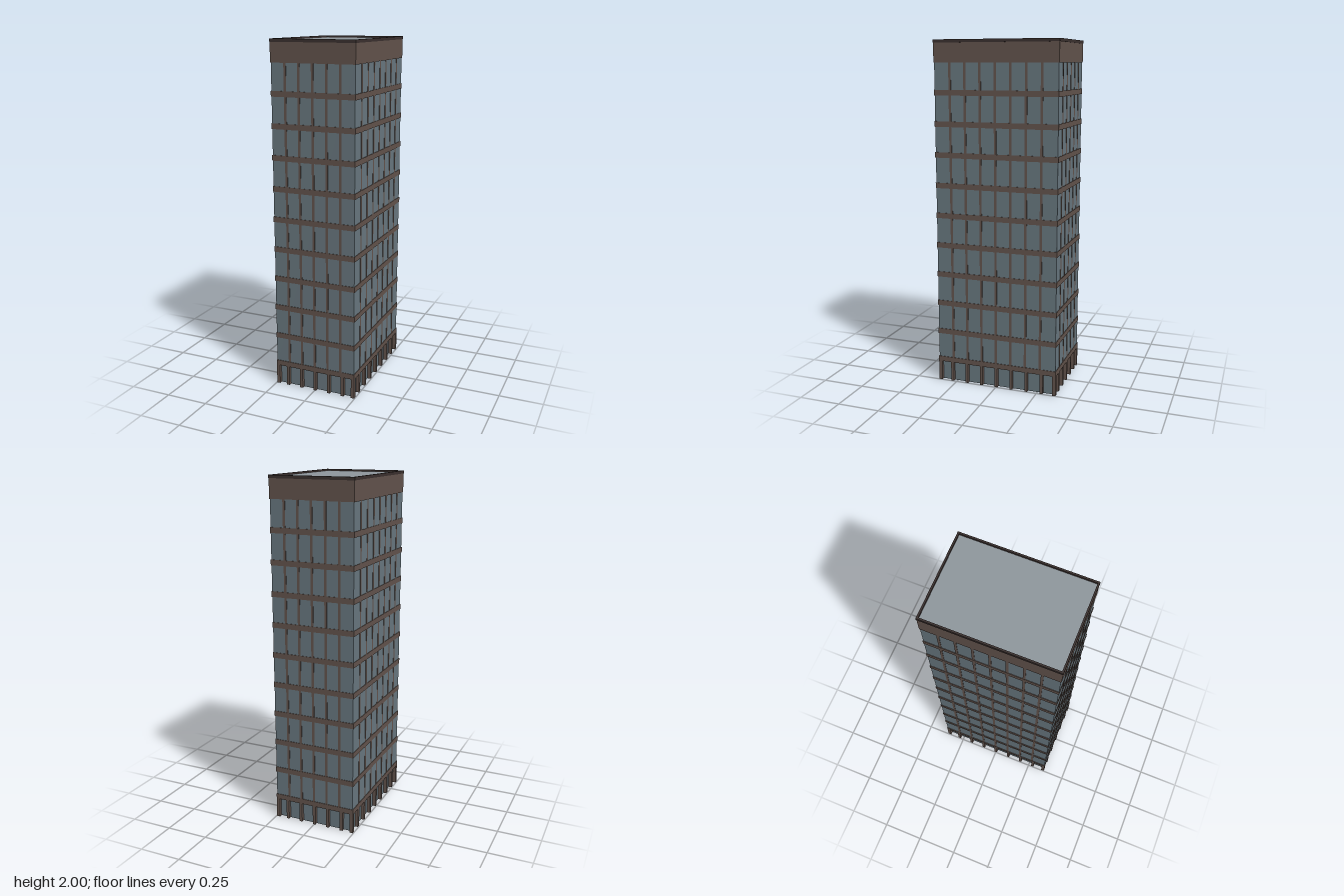
import * as THREE from 'three';

const HX = 0.247, HZ = 0.364;      // half width and half depth of the facade
const FLOOR = 0.1753, FIRST = 0.132; // storey pitch and lowest spandrel centre

export function createModel() {
  const mat = (name, color, side = THREE.FrontSide) => {
    const m = new THREE.MeshStandardMaterial({ color, side });
    m.name = name;
    return m;
  };
  const glass = mat('blue grey glass', 0x68777f, THREE.DoubleSide);
  const brown = mat('brown cladding', 0x62534c);
  const dark = mat('dark coping', 0x3a302e);
  const roofGrey = mat('grey roof', 0x8e969c);

  const tower = new THREE.Group();
  tower.name = 'officeTower';
  const group = (name) => {
    const g = new THREE.Group();
    g.name = name;
    tower.add(g);
    return g;
  };
  const box = (parent, name, w, h, d, x, y, z, m) => {
    const mesh = new THREE.Mesh(new THREE.BoxGeometry(w, h, d), m);
    mesh.name = name;
    mesh.position.set(x, y, z);
    parent.add(mesh);
  };

  // Glazed shaft above the ground floor, with a solid soffit under it
  box(tower, 'glassShaft', HX * 2 - 0.006, 1.76, HZ * 2 - 0.006, 0, 1.01, 0, glass);
  box(tower, 'soffit', HX * 2 - 0.004, 0.008, HZ * 2 - 0.004, 0, 0.126, 0, brown);

  // Spandrel bands at each storey and the tall band at the top
  const bands = group('spandrels');
  for (let i = 0; i < 10; i++) {
    box(bands, 'spandrel', HX * 2, 0.031, HZ * 2, 0, FIRST + i * FLOOR, 0, brown);
  }
  box(tower, 'topBand', HX * 2, 0.108, HZ * 2, 0, 1.929, 0, brown);

  // Facade mullions and ground-floor columns on all four sides
  const mullions = group('mullions');
  const columns = group('columns');
  const shaftH = 1.88 - FIRST, shaftY = (1.88 + FIRST) / 2;
  for (const s of [-1, 1]) {
    for (let i = -2; i <= 2; i++) {
      box(mullions, 'mullion', 0.014, shaftH, 0.008, i * 0.0807, shaftY, s * (HZ - 0.005), brown);
      box(columns, 'column', 0.017, 0.125, 0.022, i * 0.0865, 0.0625, s * (HZ - 0.011), brown);
    }
    for (let i = -3; i <= 3; i++) {
      box(mullions, 'mullion', 0.008, shaftH, 0.014, s * (HX - 0.005), shaftY, i * 0.0895, brown);
      box(columns, 'column', 0.022, 0.125, 0.017, s * (HX - 0.011), 0.0625, i * 0.0924, brown);
    }
    for (const t of [-1, 1]) {
      box(columns, 'cornerColumn', 0.02, 0.125, 0.02, s * (HX - 0.01), 0.0625, t * (HZ - 0.01), brown);
    }
  }

  // Recessed ground-floor glazing, open underneath
  const lobby = group('lobbyGlazing');
  const inX = HX - 0.02, inZ = HZ - 0.02;
  for (let k = 0; k < 4; k++) {
    const side = k % 2 === 1;
    const pane = new THREE.Mesh(new THREE.PlaneGeometry((side ? inZ : inX) * 2, 0.122), glass);
    pane.name = 'lobbyWall';
    const a = (k * Math.PI) / 2;
    pane.rotation.y = a;
    pane.position.set(Math.sin(a) * inX, 0.061, Math.cos(a) * inZ);
    lobby.add(pane);
  }

  // Flat roof inside a low coping
  box(tower, 'roof', HX * 2 - 0.01, 0.006, HZ * 2 - 0.01, 0, 1.986, 0, roofGrey);
  const coping = group('coping');
  for (const s of [-1, 1]) {
    box(coping, 'copingSide', 0.01, 0.017, HZ * 2 + 0.004, s * (HX - 0.003), 1.9915, 0, dark);
    box(coping, 'copingEnd', HX * 2 - 0.016, 0.017, 0.01, 0, 1.9915, s * (HZ - 0.003), dark);
  }
  return tower;
}
